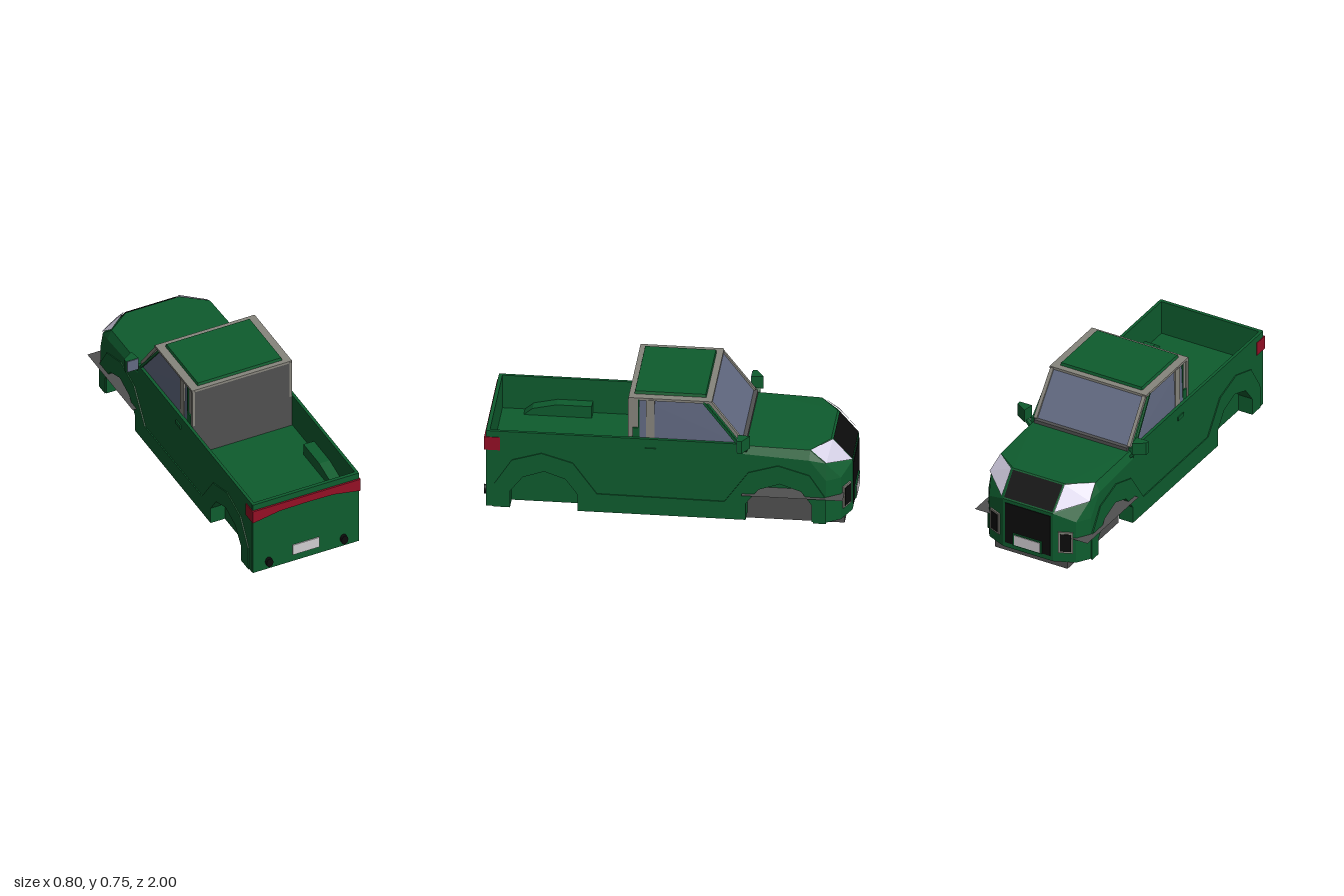
import * as THREE from 'three';
import { ConvexGeometry } from 'three/addons/geometries/ConvexGeometry.js';

const mat = (name, color, side = THREE.FrontSide) => {
  const m = new THREE.MeshStandardMaterial({ color, side });
  m.name = name;
  return m;
};

export function createModel() {
  const root = new THREE.Group();
  root.name = 'pickupTruck';
  const green = mat('green paint', 0x0e5c2e);
  const grey = mat('dark grey', 0x505050, THREE.DoubleSide);
  const beige = mat('warm grey trim', 0x87857d);
  const glass = mat('blue grey glass', 0x626a82, THREE.DoubleSide);
  const red = mat('tail light red', 0x940f25);
  const black = mat('black', 0x0c0c0c, THREE.DoubleSide);
  const lamp = mat('headlight white', 0xd2cde2, THREE.DoubleSide);
  const white = mat('number plate', 0xd0ccd0);

  const add = (name, geo, material, parent = root) => {
    const m = new THREE.Mesh(geo, material);
    m.name = name;
    parent.add(m);
    return m;
  };
  // Box given by its limits
  const box = (name, material, x0, x1, y0, y1, z0, z1) => {
    const g = new THREE.BoxGeometry(x1 - x0, y1 - y0, z1 - z0);
    g.translate((x0 + x1) / 2, (y0 + y1) / 2, (z0 + z1) / 2);
    return add(name, g, material);
  };
  // Box mirrored to both sides
  const boxes = (name, material, x0, x1, ...r) => {
    box(name + 'Left', material, x0, x1, ...r);
    box(name + 'Right', material, -x1, -x0, ...r);
  };
  const v = (a) => new THREE.Vector3(...a);
  const beam = (name, material, a, b, w, h) => {
    const m = add(name, new THREE.BoxGeometry(w, h, v(a).distanceTo(v(b))), material);
    m.position.copy(v(a).add(v(b)).multiplyScalar(0.5));
    m.lookAt(v(b));
  };
  const shapeOf = (pts) => new THREE.Shape(pts.map((p) => new THREE.Vector2(...p)));
  // Side profile of (z, y) points, extruded in x and mirrored
  const sides = (name, material, pts, x0, x1) => {
    for (const s of [1, -1]) {
      const g = new THREE.ExtrudeGeometry(shapeOf(pts), { depth: x1 - x0, bevelEnabled: false });
      g.rotateY(-Math.PI / 2).translate(s > 0 ? x1 : -x0, 0, 0);
      add(name + (s > 0 ? 'Left' : 'Right'), g, material);
    }
  };
  const face = (name, material, ...pts) => {
    const g = new THREE.BufferGeometry().setFromPoints(
      [0, 1, 2, 0, 2, 3].map((i) => v(pts[i])));
    g.computeVertexNormals();
    return add(name, g, material);
  };
  const mirrored = (pts) => pts.flatMap(([x, y, z]) => [v([x, y, z]), v([-x, y, z])]);

  // Wheel arches: cut-out and flare outlines, from tail to nose
  const arch = (c) => [[0.185, 0.04], [0.185, 0.14], [0.115, 0.23], [0, 0.27],
    [-0.115, 0.23], [-0.18, 0.14], [-0.18, 0.04]].map(([z, y]) => [z + c, y]);
  const cut = [...arch(0.665), ...arch(-0.61)];
  sides('lowerSide', green,
    [...cut, [-0.79, 0.04], [-0.79, 0.3], [0.975, 0.3], [0.975, 0.04]], 0.24, 0.32);
  sides('archCladding', green, [...cut, [-0.86, 0.04], [-0.86, 0.19], [-0.77, 0.33],
    [-0.6, 0.38], [-0.44, 0.33], [-0.31, 0.145], [0.38, 0.15], [0.51, 0.33],
    [0.68, 0.38], [0.84, 0.33], [0.935, 0.18], [0.94, 0.04]], 0.318, 0.326);

  // Chassis, bed, tailgate and cab base
  box('chassis', green, -0.24, 0.24, 0.04, 0.29, -0.4, 0.97);
  box('engineBay', green, -0.24, 0.24, 0.2, 0.31, -0.8, -0.4);
  box('bedFloor', green, -0.305, 0.305, 0.285, 0.3, 0.2, 0.97);
  boxes('bedWall', green, 0.303, 0.32, 0.3, 0.5, -0.41, 0.975);
  box('tailgate', green, -0.318, 0.318, 0.04, 0.5, 0.96, 0.98);
  box('cabBase', green, -0.304, 0.304, 0.29, 0.498, -0.41, 0.2);
  sides('wheelHump', green, [[0.85, 0.29], [0.79, 0.34], [0.66, 0.37], [0.47, 0.37],
    [0.47, 0.29]], 0.24, 0.305);

  // Hood and nose
  const plan = [[0.32, -0.78], [0.318, -0.86], [0.27, -0.935], [0.155, -0.985]];
  add('hood', new ConvexGeometry(mirrored([
    ...plan.map(([x, z]) => [x, 0.3, z]), [0.32, 0.3, -0.41], [0.32, 0.44, -0.41],
    [0.3, 0.482, -0.41], [0.295, 0.472, -0.77], [0.32, 0.42, -0.77],
    [0.305, 0.4, -0.855], [0.16, 0.475, -0.87], [0.155, 0.345, -0.985],
  ])), green);
  add('frontBumper', new ConvexGeometry(mirrored(
    plan.flatMap(([x, z]) => [[x, 0.3, z], [x, 0.045, z]]))), green);
  face('upperGrille', black, [0.155, 0.472, -0.881], [-0.155, 0.472, -0.881],
    [-0.15, 0.355, -0.984], [0.15, 0.355, -0.984]);
  box('lowerGrille', black, -0.14, 0.14, 0.075, 0.325, -0.989, -0.98);
  box('frontPlateHolder', green, -0.09, 0.09, 0.075, 0.15, -0.997, -0.985);
  box('frontPlate', white, -0.08, 0.08, 0.082, 0.143, -1, -0.996);

  for (const s of [1, -1]) {
    const side = s > 0 ? 'Left' : 'Right';
    // Headlight
    face('headlight' + side, lamp, [s * 0.312, 0.405, -0.86], [s * 0.294, 0.474, -0.775],
      [s * 0.165, 0.477, -0.88], [s * 0.163, 0.358, -0.988]);
    // Fog light on the angled bumper corner
    const fog = new THREE.Group();
    fog.name = 'fogLight' + side;
    fog.position.set(s * 0.218, 0.17, -0.959);
    fog.rotation.y = Math.atan2(s * 0.4, -0.917);
    add('fogFrame', new THREE.BoxGeometry(0.08, 0.13, 0.014), beige, fog);
    add('fogLens', new THREE.BoxGeometry(0.058, 0.108, 0.02), black, fog);
    root.add(fog);
    // Door mirror
    const outline = [[0.325, -0.386], [0.4, -0.386], [0.4, -0.41], [0.335, -0.45]];
    add('mirrorHousing' + side, new ConvexGeometry(outline.flatMap(([x, z]) =>
      [v([s * x, 0.485, z]), v([s * x, 0.56, z])])), green);
    beam('mirrorArm' + side, green, [s * 0.31, 0.455, -0.42], [s * 0.345, 0.495, -0.42], 0.025, 0.015);
    // Sloping pillars and window trim
    beam('frontPillar' + side, beige, [s * 0.286, 0.73, -0.23], [s * 0.29, 0.5, -0.405], 0.02, 0.018);
    beam('windowTrim' + side, green, [s * 0.294, 0.73, -0.195], [s * 0.312, 0.5, -0.38], 0.012, 0.014);
    // Side window
    face('sideWindow' + side, glass, [s * 0.292, 0.73, 0.155], [s * 0.3, 0.498, 0.155],
      [s * 0.304, 0.498, -0.38], [s * 0.292, 0.73, -0.19]);
    // Exhaust
    const pipe = new THREE.CylinderGeometry(0.02, 0.02, 0.03, 16);
    pipe.rotateX(Math.PI / 2).scale(1, 1.4, 1).translate(s * 0.225, 0.09, 0.985);
    add('exhaust' + side, pipe, black);
  }
  boxes('mirrorGlass', glass, 0.326, 0.393, 0.487, 0.558, -0.387, -0.382);

  // Cab
  box('roofFrame', beige, -0.3, 0.3, 0.725, 0.739, -0.24, 0.212);
  add('roofPanel', new ConvexGeometry(mirrored([-0.205, 0.185].flatMap((z) =>
    [[0.255, 0.738, z], [0.25, 0.755, z * 0.98]]))), green);
  face('windscreen', glass, [0.28, 0.73, -0.232], [0.285, 0.498, -0.405],
    [-0.285, 0.498, -0.405], [-0.28, 0.73, -0.232]);
  box('cowl', grey, -0.29, 0.29, 0.48, 0.502, -0.425, -0.395);
  box('rearPanel', grey, -0.299, 0.299, 0.3, 0.727, 0.2, 0.21);
  boxes('rearPillar', beige, 0.285, 0.3, 0.498, 0.73, 0.195, 0.213);
  boxes('quarterPanel', beige, 0.28, 0.293, 0.498, 0.73, 0.16, 0.198);
  boxes('quarterTrim', green, 0.288, 0.301, 0.498, 0.73, 0.153, 0.161);
  boxes('quarterBase', green, 0.29, 0.301, 0.498, 0.555, 0.16, 0.19);
  boxes('middlePillar', beige, 0.29, 0.303, 0.498, 0.73, 0.07, 0.115);
  boxes('doorHandle', green, 0.318, 0.327, 0.425, 0.447, 0.06, 0.12);

  // Tail lights and rear plate
  const band = new THREE.ExtrudeGeometry(shapeOf([[-0.324, 0.385], [-0.16, 0.415], [0, 0.418],
    [0.16, 0.415], [0.324, 0.385], [0.324, 0.463], [-0.324, 0.463]]), { depth: 0.012, bevelEnabled: false });
  add('tailLightBand', band.translate(0, 0, 0.978), red);
  boxes('tailLight', red, 0.312, 0.324, 0.385, 0.463, 0.905, 0.985);
  box('rearPlate', white, -0.08, 0.08, 0.085, 0.15, 0.978, 0.986);

  // Front undertray with its wide flat sheet
  box('undertray', grey, -0.225, 0.225, 0, 0.2, -0.95, -0.405);
  face('undertraySheet', grey, [0.35, 0.2, -0.405], [0.35, 0.2, -0.952],
    [-0.35, 0.2, -0.952], [-0.35, 0.2, -0.405]);
  return root;
}
